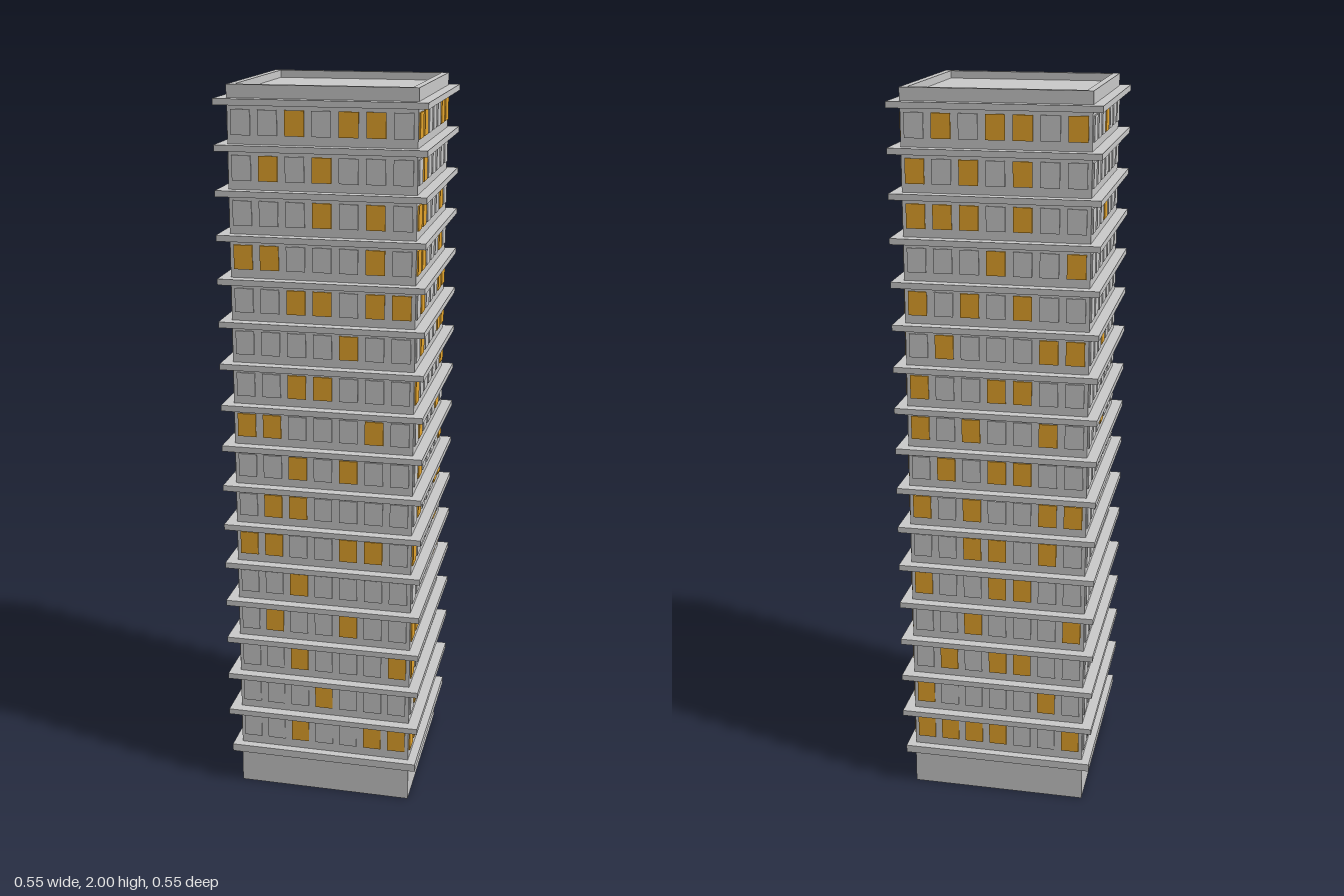
import * as THREE from 'three';

const FLOORS = 16, STEP = 0.1148, COLS = 7, PITCH = 0.07;
const WALL = 0.246;

// Lit window columns (0-6, left to right seen from outside), top floor first
const LIT = {
  front: '245 13 35 015 2356 4 23 015 24 12 0145 2 14 26 3 256',
  right: '0156 1 015 015 156 156 06 15 16 156 05 56 016 06 156 0156',
  back: '1346 024 0124 36 024 156 034 025 134 0256 235 034 26 134 05 01236',
  left: '3 - 3 - - 3 - 3 - 3 - 3 - - 3 -',
};

export function createModel() {
  const model = new THREE.Group();
  model.name = 'towerBlock';
  const grey = new THREE.MeshStandardMaterial({ color: 0xcccccc });
  const amber = new THREE.MeshStandardMaterial({ color: 0xe8a72c });

  // Square block given by half width, bottom and top
  const block = (name, half, y0, y1) => {
    const mesh = new THREE.Mesh(new THREE.BoxGeometry(half * 2, y1 - y0, half * 2), grey);
    mesh.position.y = (y0 + y1) / 2;
    mesh.name = name;
    model.add(mesh);
  };

  block('base', WALL, 0, 0.105);
  block('baseLedge', 0.268, 0.105, 0.127);
  block('walls', WALL - 0.001, 0.127, 1.95);
  block('roof', WALL - 0.003, 1.95, 1.98);

  // Projecting ledge above every floor
  for (let i = 0; i < FLOORS; i++) {
    const y = 0.237 + i * STEP;
    block('floorLedge', 0.274, y - 0.008, y + 0.008);
  }

  // Parapet ring around the sunken roof
  const square = (path, h) => {
    path.moveTo(-h, -h);
    path.lineTo(h, -h);
    path.lineTo(h, h);
    path.lineTo(-h, h);
    path.closePath();
    return path;
  };
  const ring = square(new THREE.Shape(), WALL);
  ring.holes.push(square(new THREE.Path(), 0.228));
  const parapetGeo = new THREE.ExtrudeGeometry(ring, { depth: 0.04, bevelEnabled: false });
  parapetGeo.rotateX(-Math.PI / 2);
  const parapet = new THREE.Mesh(parapetGeo, grey);
  parapet.position.y = 1.96;
  parapet.name = 'parapet';
  model.add(parapet);

  // Window panels, one group per side
  const pane = new THREE.BoxGeometry(0.05, 0.064, 0.012);
  const turns = { front: 0, right: Math.PI / 2, back: Math.PI, left: -Math.PI / 2 };
  for (const side in turns) {
    const group = new THREE.Group();
    group.name = side + 'Windows';
    group.rotation.y = turns[side];
    LIT[side].split(' ').forEach((lit, row) => {
      for (let c = 0; c < COLS; c++) {
        const on = lit.includes(String(c));
        const mesh = new THREE.Mesh(pane, on ? amber : grey);
        mesh.name = on ? 'litWindow' : 'window';
        mesh.position.set((c - 3) * PITCH, 1.907 - row * STEP, 0.243);
        group.add(mesh);
      }
    });
    model.add(group);
  }
  return model;
}
